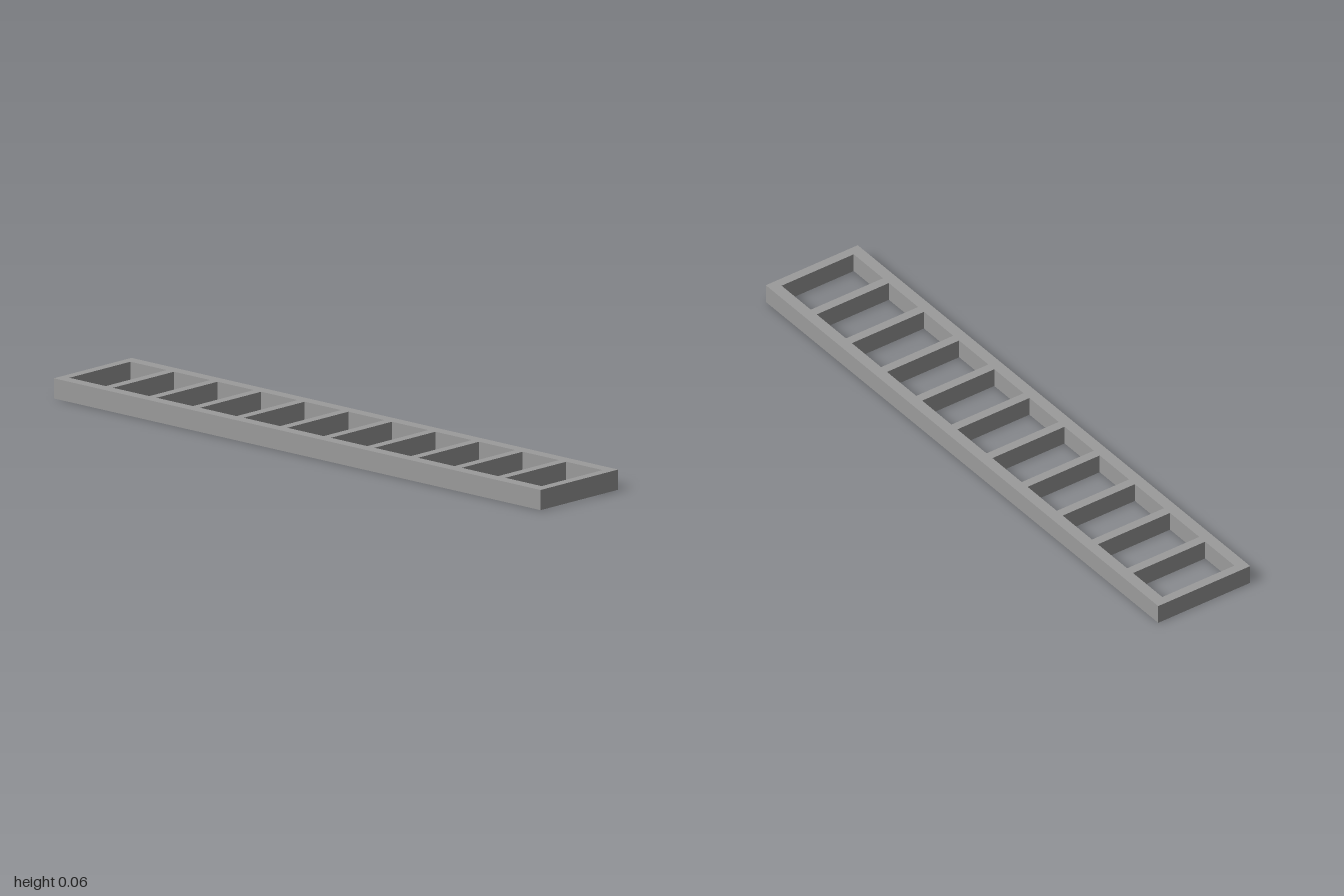
import * as THREE from 'three';

const LENGTH = 2, DEPTH = 0.342, HEIGHT = 0.0625;
const BAR = 0.03, RAIL = 0.037, CELLS = 11;

// Closed rectangle, centred on (cx, 0)
function rectangle(path, cx, w, h) {
  path.moveTo(cx - w / 2, -h / 2);
  path.lineTo(cx + w / 2, -h / 2);
  path.lineTo(cx + w / 2, h / 2);
  path.lineTo(cx - w / 2, h / 2);
  path.closePath();
  return path;
}

export function createModel() {
  const group = new THREE.Group();
  group.name = 'ladderFrame';

  const grey = new THREE.MeshStandardMaterial({ color: 0x9b9b9b });
  grey.name = 'grey';

  // Two long rails joined by flush cross bars, with an opening in each cell
  const outline = rectangle(new THREE.Shape(), 0, LENGTH, DEPTH);
  const pitch = (LENGTH - BAR) / CELLS;
  for (let i = 0; i < CELLS; i++) {
    const cx = (i - (CELLS - 1) / 2) * pitch;
    outline.holes.push(rectangle(new THREE.Path(), cx, pitch - BAR, DEPTH - 2 * RAIL));
  }
  const geometry = new THREE.ExtrudeGeometry(outline, { depth: HEIGHT, bevelEnabled: false });
  geometry.rotateX(-Math.PI / 2); // lay flat, standing on y = 0

  const frame = new THREE.Mesh(geometry, grey);
  frame.name = 'railsAndCrossBars';
  group.add(frame);
  return group;
}
